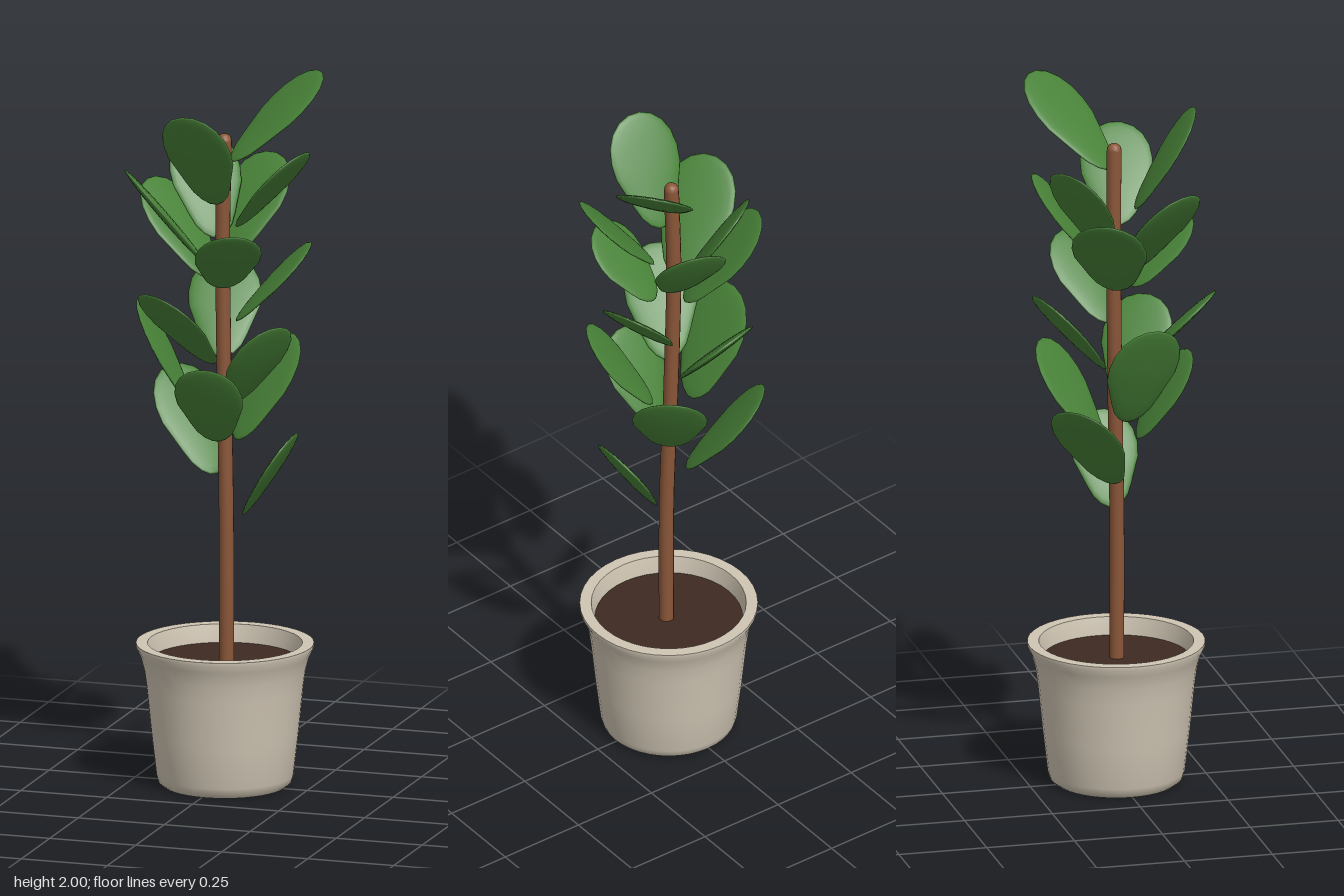
import * as THREE from 'three';
import { mergeVertices, toCreasedNormals } from 'three/addons/utils/BufferGeometryUtils.js';

const mat = (name, color) => new THREE.MeshStandardMaterial({ name, color });

// Squashed sphere reshaped into a fiddle outline: unit length along y, base at y = 0
function leafGeometry() {
  let g = new THREE.SphereGeometry(1, 22, 12);
  g.rotateX(Math.PI / 2); // outline lies in the xy plane
  g.deleteAttribute('uv');
  g.deleteAttribute('normal');
  g = mergeVertices(g);
  const p = g.attributes.position;
  for (let i = 0; i < p.count; i++) {
    const t = p.getY(i);
    const waist = 0.08 * Math.exp(-(((t + 0.4) / 0.25) ** 2));
    p.setXYZ(i, p.getX(i) * 0.34 * (0.91 + 0.22 * t - waist), (t + 1) / 2, p.getZ(i) * 0.036);
  }
  g.computeVertexNormals();
  return g;
}

export function createModel() {
  const model = new THREE.Group();
  model.name = 'pottedPlant';
  const clay = mat('pot beige', 0xcfc5b3);
  const earth = mat('soil brown', 0x3d2a22);
  const bark = mat('stem brown', 0x8a5638);
  const green = mat('leaf green', 0x488238);

  const add = (name, geometry, material, x = 0, y = 0, z = 0) => {
    const m = new THREE.Mesh(geometry, material);
    m.name = name;
    m.position.set(x, y, z);
    model.add(m);
    return m;
  };

  // Pot: closed lathe profile with flared rim and inner wall
  const profile = [
    [0, 0], [0.172, 0], [0.184, 0.01], [0.19, 0.03], [0.204, 0.15], [0.217, 0.28], [0.224, 0.33],
    [0.235, 0.37], [0.246, 0.392], [0.246, 0.402], [0.214, 0.402], [0.205, 0.36], [0.2, 0.3],
  ].map(([r, y]) => new THREE.Vector2(r, y));
  add('pot', toCreasedNormals(new THREE.LatheGeometry(profile, 40), 0.7), clay, 0.01, 0, -0.003);
  add('soil', new THREE.CylinderGeometry(0.204, 0.2, 0.04, 40), earth, 0.01, 0.332, -0.003);

  // Stem: gently swaying tube with a rounded tip
  const path = new THREE.CatmullRomCurve3([
    [0.016, 0.32, 0], [0.015, 0.75, 0], [0.006, 1.15, -0.008], [0, 1.55, -0.013], [0.006, 1.825, -0.01],
  ].map((v) => new THREE.Vector3(...v)));
  add('stem', new THREE.TubeGeometry(path, 24, 0.021, 12), bark);
  add('stemTip', new THREE.SphereGeometry(0.021, 12, 8), bark, 0.006, 1.825, -0.01);

  // Leaves spiral up the stem by the golden angle: [base y, tip y, base radius, tip radius]
  const leaves = [
    [0.77, 1.01, 0.065, 0.215], [0.87, 1.14, 0.04, 0.26], [0.985, 1.225, 0.055, 0.21],
    [0.97, 1.25, 0.05, 0.235], [1.06, 1.37, 0.075, 0.235], [1.09, 1.34, 0.05, 0.235],
    [1.2, 1.44, 0.045, 0.255], [1.2, 1.435, 0.04, 0.275], [1.315, 1.535, 0.04, 0.25],
    [1.43, 1.685, 0.035, 0.255], [1.42, 1.61, 0.05, 0.235], [1.5, 1.75, 0.05, 0.24],
    [1.48, 1.755, 0.045, 0.27], [1.59, 1.825, 0.055, 0.265], [1.54, 1.81, 0.045, 0.22],
    [1.655, 1.94, 0.045, 0.215], [1.765, 2.0, 0.03, 0.295],
  ];
  const geometry = leafGeometry();
  leaves.forEach(([y0, y1, r0, r1], i) => {
    const a = THREE.MathUtils.degToRad(i * 137.5);
    const c = Math.cos(a), s = -Math.sin(a);
    const along = new THREE.Vector3(c * (r1 - r0), y1 - y0, s * (r1 - r0));
    const length = along.length();
    along.normalize();
    const side = new THREE.Vector3(-s, 0, c);
    const face = new THREE.Vector3().crossVectors(side, along);
    const leaf = add('leaf' + (i + 1), geometry, green, c * r0, y0, s * r0);
    leaf.quaternion.setFromRotationMatrix(new THREE.Matrix4().makeBasis(side, along, face));
    // Short leaves stay nearly as wide as long ones
    const width = 0.16 + 0.5 * length;
    leaf.scale.set(width, length, width);
  });
  return model;
}
